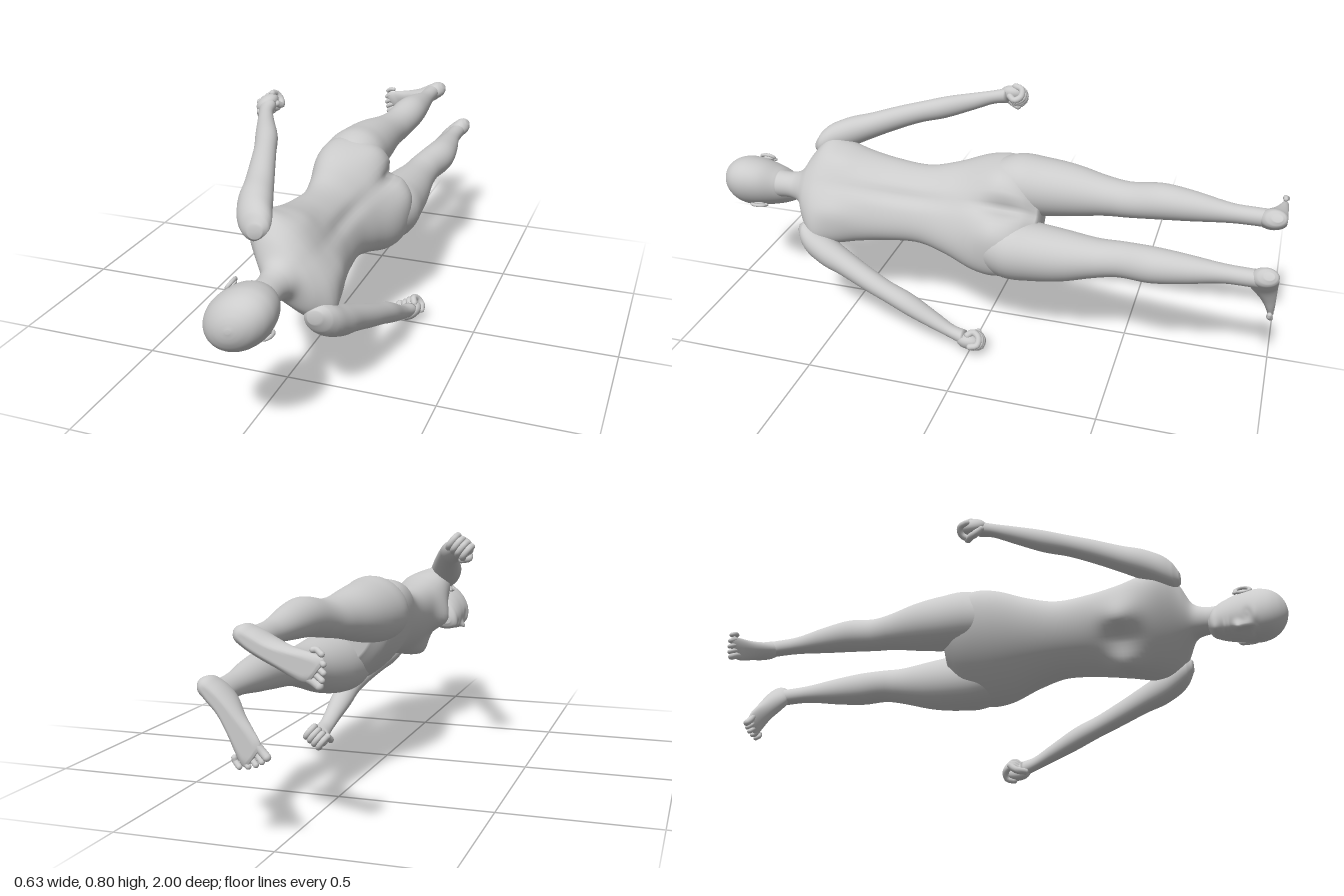
import * as THREE from 'three';
import { mergeGeometries } from 'three/addons/utils/BufferGeometryUtils.js';

const skin = new THREE.MeshStandardMaterial({ color: 0xcccccc });

function add(group, name, geometry) {
  const mesh = new THREE.Mesh(geometry, skin);
  mesh.name = name;
  group.add(mesh);
  return mesh;
}

// Smooth skin through elliptical sections [t, centreX, centreV, radiusX, radiusV].
// axis 'y': t is height, v is depth. axis 'z': t is depth, v is height.
function loft(sections, { axis = 'y', side = 1, sub = 5, sides = 40, shape = null } = {}) {
  const keys = [...sections].sort((a, b) => a[0] - b[0]);
  const spline = new THREE.CubicInterpolant(keys.map(k => k[0]), keys.flatMap(k => k.slice(1)), 4);
  const pos = [], index = [];
  const push = (x, t, v) => {
    const p = axis === 'y' ? new THREE.Vector3(x, t, v) : new THREE.Vector3(x, v, t);
    pos.push(p.x, p.y, p.z);
  };
  const rings = (keys.length - 1) * sub + 1;
  for (let i = 0; i < rings; i++) {
    const k = Math.min(Math.floor(i / sub), keys.length - 2);
    const t = THREE.MathUtils.lerp(keys[k][0], keys[k + 1][0], i / sub - k);
    const [cx, cv, rx, rv] = Array.from(spline.evaluate(t));
    for (let j = 0; j < sides; j++) {
      const a = j / sides * Math.PI * 2;
      const s = axis === 'y' ? Math.sin(a) : -Math.sin(a);
      const x = side * cx + rx * Math.cos(a);
      let v = cv + rv * s;
      if (shape) v = shape(x, t, v, s);
      push(x, t, v);
    }
  }
  for (let i = 0; i < rings - 1; i++) for (let j = 0; j < sides; j++) {
    const n = (j + 1) % sides, a = i * sides + j, b = i * sides + n;
    index.push(a, a + sides, b, b, a + sides, b + sides);
  }
  // end caps
  const first = keys[0], last = keys[keys.length - 1], base = rings * sides;
  push(side * first[1], first[0], first[2]);
  push(side * last[1], last[0], last[2]);
  for (let j = 0; j < sides; j++) {
    const n = (j + 1) % sides, top = (rings - 1) * sides;
    index.push(base, j, n, base + 1, top + n, top + j);
  }
  const g = new THREE.BufferGeometry();
  g.setAttribute('position', new THREE.Float32BufferAttribute(pos, 3));
  g.setIndex(index);
  g.computeVertexNormals();
  return g;
}

// Soft swellings and hollows [front(1)/back(-1), x, y, amount, spreadX, spreadY], mirrored in x
const relief = bumps => (x, y, z, s) => {
  for (const [dir, bx, by, amount, sx, sy] of bumps) {
    const facing = Math.max(0, s * dir);
    z += dir * amount * Math.sqrt(facing) *
      Math.exp(-(((Math.abs(x) - bx) / sx) ** 2) - ((y - by) / sy) ** 2);
  }
  return z;
};

function ellipsoid(x, y, z, rx, ry, rz) {
  return new THREE.SphereGeometry(1, 24, 16).scale(rx, ry, rz).translate(x, y, z);
}

// Rounded finger, thumb or toe along a few points
function digit(points, r) {
  const v = points.map(p => new THREE.Vector3(...p));
  const tube = new THREE.TubeGeometry(new THREE.CatmullRomCurve3(v), 12, r, 12);
  const ends = [v[0], v[v.length - 1]].map(p => new THREE.SphereGeometry(r, 12, 8).translate(p.x, p.y, p.z));
  return mergeGeometries([tube, ...ends]);
}

export function createModel() {
  const model = new THREE.Group();
  model.name = 'lyingFigure';
  const body = new THREE.Group();
  body.name = 'body';
  model.add(body);

  // Torso with neck, chest, waist and hips
  add(body, 'torso', loft([
    [0.80, 0, -0.015, 0.050, 0.052], [0.72, 0, -0.025, 0.050, 0.050],
    [0.685, 0, -0.034, 0.070, 0.058], [0.655, 0, -0.04, 0.130, 0.072],
    [0.61, 0, -0.04, 0.190, 0.09], [0.54, 0, -0.03, 0.187, 0.105],
    [0.45, 0, -0.022, 0.165, 0.108], [0.35, 0, -0.02, 0.148, 0.1],
    [0.22, 0, -0.025, 0.14, 0.092], [0.12, 0, -0.03, 0.165, 0.1],
    [0.0, 0, -0.035, 0.208, 0.12], [-0.08, 0, -0.04, 0.213, 0.12],
    [-0.15, 0, -0.04, 0.185, 0.105], [-0.2, 0, -0.04, 0.11, 0.06],
  ], {
    sides: 72, sub: 6, shape: relief([
      [1, 0.09, 0.45, 0.04, 0.055, 0.06],
      [-1, 0.1, -0.07, 0.03, 0.075, 0.09],
      [-1, 0, -0.1, -0.035, 0.022, 0.09],
      [-1, 0, 0.3, -0.012, 0.025, 0.22],
      [-1, 0.1, 0.53, 0.012, 0.05, 0.08],
    ]),
  }));

  // Head with nose, brow, eye sockets, lips and chin
  add(body, 'head', loft([
    [0.742, 0, 0.058, 0.02, 0.03], [0.752, 0, 0.05, 0.04, 0.054],
    [0.775, 0, 0.03, 0.058, 0.08], [0.805, 0, 0.018, 0.07, 0.096],
    [0.84, 0, 0.006, 0.08, 0.109], [0.88, 0, 0.002, 0.087, 0.118],
    [0.92, 0, 0, 0.087, 0.117], [0.96, 0, -0.004, 0.072, 0.096],
    [0.985, 0, -0.007, 0.047, 0.063], [0.996, 0, -0.008, 0.024, 0.032],
    [1.0, 0, -0.009, 0.006, 0.008],
  ], {
    sides: 96, sub: 8, shape: relief([
      [1, 0, 0.838, 0.022, 0.013, 0.013], [1, 0, 0.858, 0.010, 0.010, 0.022],
      [1, 0.034, 0.872, -0.009, 0.017, 0.012], [1, 0.034, 0.871, 0.004, 0.009, 0.006],
      [1, 0.03, 0.895, 0.004, 0.025, 0.010], [1, 0, 0.808, 0.007, 0.02, 0.005],
      [1, 0, 0.796, 0.007, 0.018, 0.005], [1, 0, 0.765, 0.007, 0.02, 0.012],
    ]),
  }));

  for (const [side, label] of [[1, 'left'], [-1, 'right']]) {
    const limb = new THREE.Group();
    limb.name = label + 'Side';
    body.add(limb);

    // Ear: cupped rim, inner bowl and lobe
    const rim = new THREE.TorusGeometry(0.019, 0.006, 10, 24).scale(0.8, 1.25, 1)
      .rotateY(side * (Math.PI / 2 - 0.35)).translate(side * 0.09, 0.862, -0.012);
    add(limb, label + 'Ear', mergeGeometries([rim,
      ellipsoid(side * 0.085, 0.86, -0.01, 0.007, 0.022, 0.015),
      ellipsoid(side * 0.086, 0.836, -0.004, 0.006, 0.008, 0.008)]));

    // Arm from shoulder to wrist
    add(limb, label + 'Arm', loft([
      [0.662, 0.155, -0.04, 0.02, 0.025], [0.64, 0.168, -0.038, 0.047, 0.05],
      [0.57, 0.21, -0.032, 0.056, 0.06], [0.48, 0.25, -0.03, 0.048, 0.052],
      [0.38, 0.295, -0.026, 0.042, 0.044], [0.3, 0.328, -0.018, 0.038, 0.04],
      [0.22, 0.358, -0.003, 0.039, 0.041], [0.12, 0.4, 0.022, 0.03, 0.031],
      [0.06, 0.425, 0.036, 0.024, 0.028], [0.015, 0.438, 0.042, 0.027, 0.034],
    ], { side, sides: 32 }));

    // Closed hand
    const hand = [ellipsoid(side * 0.447, -0.002, 0.045, 0.028, 0.045, 0.042)];
    for (let i = 0; i < 4; i++) {
      const z = 0.014 + i * 0.02, drop = i === 1 || i === 2 ? 0.003 : 0;
      hand.push(digit([[side * 0.466, -0.015, z], [side * 0.457, -0.039 - drop, z],
        [side * 0.43, -0.04 - drop, z], [side * 0.415, -0.018, z], [side * 0.428, 0, z]], 0.0115));
    }
    hand.push(digit([[side * 0.438, 0.03, 0.07], [side * 0.424, 0.005, 0.088],
      [side * 0.41, -0.02, 0.075]], 0.012));
    add(limb, label + 'Hand', mergeGeometries(hand));

    // Leg from hip to ankle
    add(limb, label + 'Leg', loft([
      [0.02, 0.1, -0.045, 0.07, 0.08], [-0.1, 0.112, -0.048, 0.104, 0.118],
      [-0.2, 0.113, -0.048, 0.1, 0.112], [-0.3, 0.112, -0.057, 0.088, 0.096],
      [-0.42, 0.105, -0.076, 0.066, 0.071], [-0.49, 0.1, -0.093, 0.06, 0.063],
      [-0.6, 0.105, -0.118, 0.06, 0.064], [-0.7, 0.103, -0.12, 0.05, 0.055],
      [-0.83, 0.098, -0.115, 0.032, 0.038], [-0.9, 0.098, -0.113, 0.03, 0.036],
      [-0.97, 0.098, -0.11, 0.03, 0.042],
    ], { side }));

    // Foot with a flat sole, turned slightly outward
    const foot = [loft([
      [-0.166, 0.092, -0.968, 0.012, 0.016], [-0.155, 0.093, -0.962, 0.026, 0.034],
      [-0.125, 0.095, -0.955, 0.033, 0.048], [-0.07, 0.103, -0.955, 0.035, 0.05],
      [-0.01, 0.122, -0.973, 0.038, 0.033], [0.04, 0.14, -0.984, 0.044, 0.02],
      [0.075, 0.152, -0.988, 0.043, 0.013], [0.085, 0.155, -0.989, 0.036, 0.008],
    ], { axis: 'z', side, shape: (x, z, y) => Math.max(y, -1) })];
    for (let i = 0; i < 5; i++) {
      const r = i === 0 ? 0.012 : 0.0085, x = 0.12 + i * 0.0185;
      const tip = 0.112 - i * i * 0.0028;
      foot.push(digit([[side * x, -0.986, 0.06 - i * 0.005], [side * (x + 0.006), -0.985, tip - 0.02],
        [side * (x + 0.008), -1 + r, tip]], r));
    }
    // shared attributes only, so the parts can join
    for (const g of foot) g.deleteAttribute('uv');
    add(limb, label + 'Foot', mergeGeometries(foot));
  }

  // Lay the body along z, rolled so that the chest faces down and to -x
  const pose = new THREE.Matrix4().makeBasis(
    new THREE.Vector3(0.6, -0.8, 0), new THREE.Vector3(0, 0, 1), new THREE.Vector3(-0.8, -0.6, 0));
  body.quaternion.setFromRotationMatrix(pose);
  body.position.set(0.035, 0.448, 0);
  return model;
}
